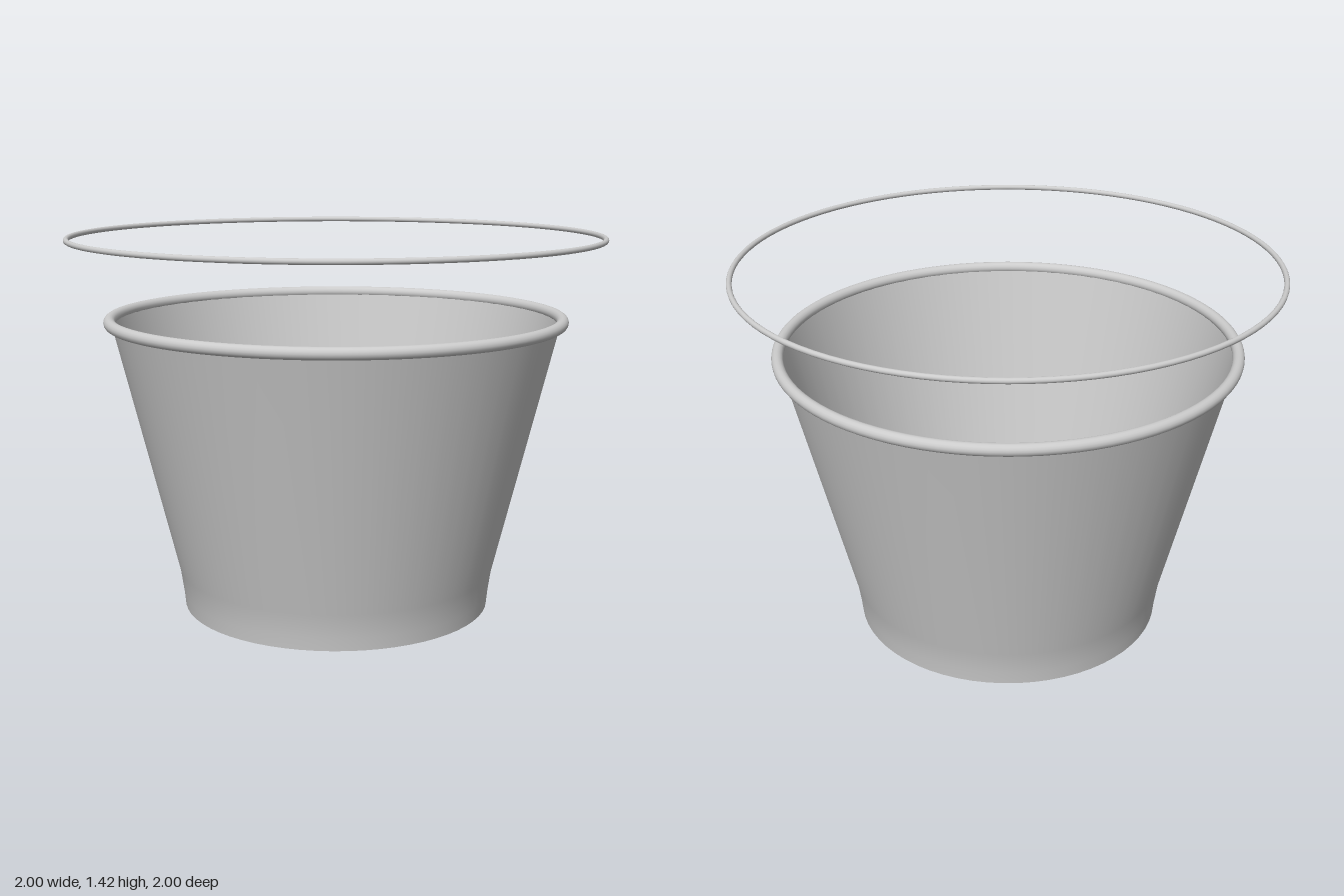
import * as THREE from 'three';

export function createModel() {
  const model = new THREE.Group();
  const material = new THREE.MeshStandardMaterial({ color: 0xcccccc, side: THREE.DoubleSide });

  const add = (name, geometry, y = 0) => {
    const mesh = new THREE.Mesh(geometry, material);
    mesh.name = name;
    mesh.position.y = y;
    model.add(mesh);
    return mesh;
  };

  const ring = (radius, tube) =>
    new THREE.TorusGeometry(radius, tube, 16, 96).rotateX(Math.PI / 2);

  // Thin tapered wall, a little steeper near the foot
  const outer = [[0.587, 0], [0.592, 0.05], [0.605, 0.14], [0.838, 1.1]];
  const thickness = 0.009;
  const wall = (name, offset) => add(name, new THREE.LatheGeometry(
    outer.map(([r, y]) => new THREE.Vector2(r - offset, y)), 64));
  wall('outerWall', 0);
  wall('innerWall', thickness);

  // Narrow edge closing the wall at the foot
  add('footEdge', new THREE.RingGeometry(0.587 - thickness, 0.587, 64).rotateX(Math.PI / 2));

  // Base plate, recessed above the foot
  add('base', new THREE.CylinderGeometry(0.583, 0.583, 0.01, 64), 0.061);

  // Rolled rim
  add('rim', ring(0.845, 0.022), 1.103);

  // Thin wire hoop floating level above the rim
  add('handleHoop', ring(0.99, 0.01), 1.408);

  return model;
}
